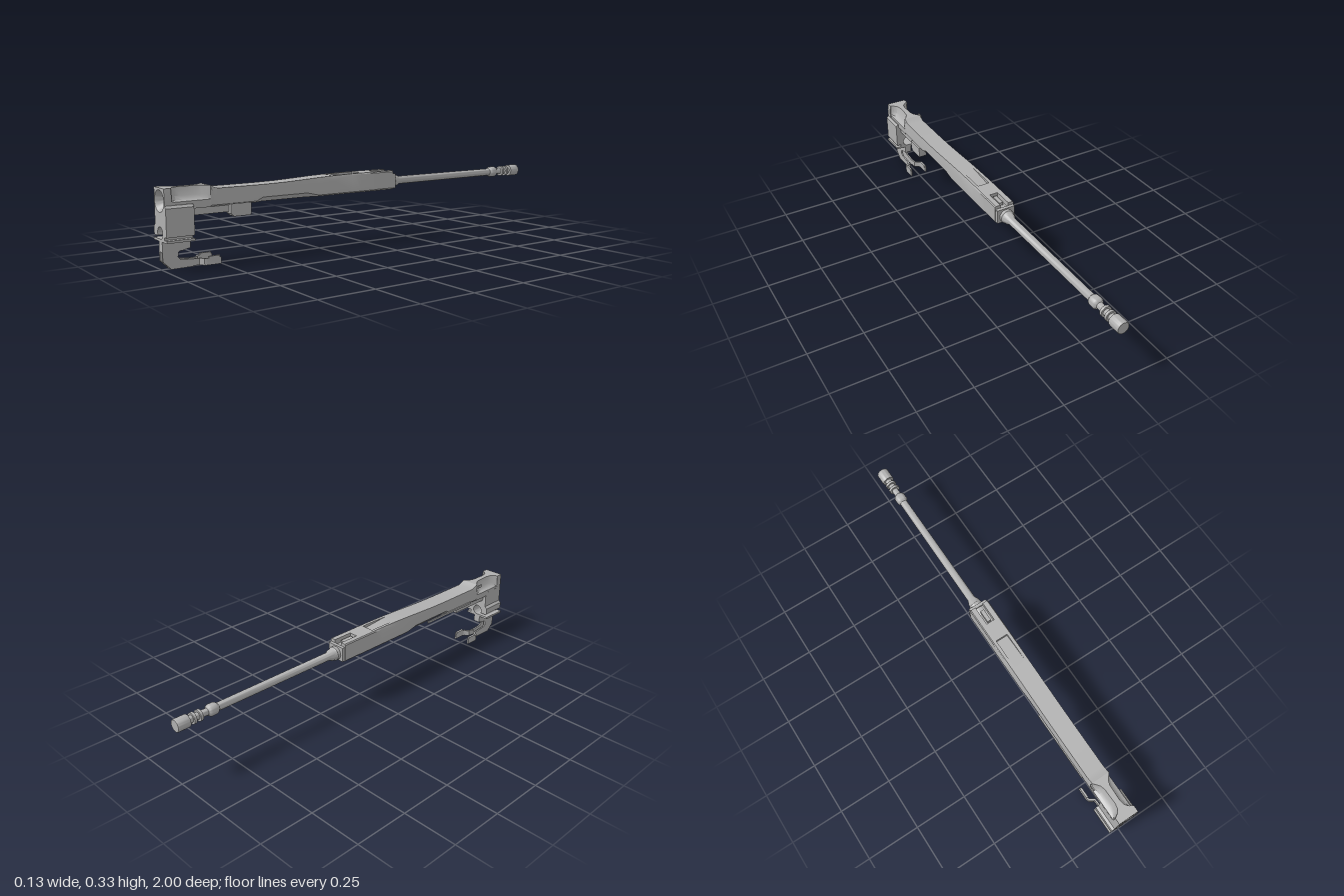
import * as THREE from 'three';
import { toCreasedNormals } from 'three/addons/utils/BufferGeometryUtils.js';

const steel = new THREE.MeshStandardMaterial({ color: 0xb0b0b0 });
steel.name = 'steel grey';

export function createModel() {
  const group = new THREE.Group();

  const add = (name, geo) => {
    const mesh = new THREE.Mesh(toCreasedNormals(geo, 0.6), steel);
    mesh.name = name;
    group.add(mesh);
    return mesh;
  };
  const toShape = (pts) => new THREE.Shape(pts.map(([a, b]) => new THREE.Vector2(a, b)));
  const box = (name, x0, x1, y0, y1, z0, z1) =>
    add(name, new THREE.BoxGeometry(x1 - x0, y1 - y0, z1 - z0)
      .translate((x0 + x1) / 2, (y0 + y1) / 2, (z0 + z1) / 2));
  const extrude = (shape, depth) =>
    new THREE.ExtrudeGeometry(shape, { depth, bevelEnabled: false, curveSegments: 24 });
  // (x, y) outline pushed along z
  const alongZ = (name, shape, z0, z1) => add(name, extrude(shape, z1 - z0).translate(0, 0, z0));
  // (z, y) outline pushed along x
  const alongX = (name, shape, x0, x1) =>
    add(name, extrude(shape, x1 - x0).rotateY(-Math.PI / 2).translate(x1, 0, 0));
  // [radius, z] profile turned about the bore axis
  const turned = (name, pts) =>
    add(name, new THREE.LatheGeometry(pts.map(([r, z]) => new THREE.Vector2(r, -z)), 32)
      .rotateX(-Math.PI / 2).translate(0, 0.28, 0));

  // Skin between counterclockwise cross-sections ordered by rising z
  const loft = (name, sections) => {
    const pos = [];
    const put = (s, i) => pos.push(s.pts[i][0], s.pts[i][1], s.z);
    const n = sections[0].pts.length;
    for (let k = 0; k + 1 < sections.length; k++) {
      const a = sections[k], b = sections[k + 1];
      for (let i = 0; i < n; i++) {
        const j = (i + 1) % n;
        put(a, i); put(a, j); put(b, j);
        put(a, i); put(b, j); put(b, i);
      }
    }
    const first = sections[0], last = sections[sections.length - 1];
    const cap = (s) => THREE.ShapeUtils.triangulateShape(
      s.pts.map(([x, y]) => new THREE.Vector2(x, y)), []);
    for (const [a, b, c] of cap(first)) { put(first, a); put(first, c); put(first, b); }
    for (const [a, b, c] of cap(last)) { put(last, a); put(last, b); put(last, c); }
    const geo = new THREE.BufferGeometry();
    geo.setAttribute('position', new THREE.Float32BufferAttribute(pos, 3));
    geo.computeVertexNormals();
    return add(name, geo);
  };
  const mirrored = (half) => [...half, ...half.slice().reverse().map(([x, y]) => [-x, y])];

  // Barrel with rear collar, tip collar and grooved tip
  turned('barrel', [
    [0, -0.1], [0.032, -0.1], [0.032, -0.165], [0.028, -0.17], [0.026, -0.185], [0.0185, -0.2],
    [0.0175, -0.8], [0.024, -0.807], [0.026, -0.812], [0.026, -0.838], [0.022, -0.845],
    [0.015, -0.85], [0.015, -0.882], [0.025, -0.882], [0.025, -0.894], [0.016, -0.894],
    [0.016, -0.912], [0.025, -0.912], [0.025, -0.924], [0.016, -0.924], [0.016, -0.942],
    [0.027, -0.942], [0.028, -0.947], [0.028, -0.997], [0.026, -1], [0, -1],
  ]);

  // Long housing: z, side edge height, top height, bottom corner inset, pocket depth
  const rows = [
    [-0.04, 0.328, 0.333, 0.006, 0], [0.05, 0.328, 0.333, 0.006, 0],
    [0.05, 0.328, 0.333, 0.006, 0.016], [0.1, 0.326, 0.333, 0.006, 0.011],
    [0.2, 0.312, 0.331, 0.006, 0], [0.28, 0.3, 0.328, 0.006, 0],
    [0.34, 0.291, 0.325, 0.02, 0], [0.45, 0.278, 0.32, 0.02, 0],
    [0.56, 0.274, 0.318, 0.02, 0], [0.59, 0.273, 0.318, 0.006, 0],
    [0.765, 0.262, 0.318, 0.006, 0], [0.785, 0.3, 0.325, 0.006, 0],
    [0.8, 0.325, 0.333, 0.006, 0],
  ];
  loft('housing', rows.map(([z, side, top, inset, pocket]) => ({
    z,
    pts: mirrored([
      [0.047 - inset, 0.245], [0.047, 0.245 + inset], [0.047, side],
      [0.043, top], [0.029, top], [0.029, top - pocket],
    ]),
  })));

  // Slotted rear end of the housing
  alongZ('housingRear', toShape([
    [-0.04, 0.245], [0.04, 0.245], [0.047, 0.252], [0.047, 0.328], [0.043, 0.333], [0.02, 0.333],
    [0.02, 0.308], [-0.02, 0.308], [-0.02, 0.333], [-0.043, 0.333], [-0.047, 0.328], [-0.047, 0.252],
  ]), -0.135, -0.04);
  box('rearLip', -0.044, 0.044, 0.25, 0.318, -0.15, -0.135);
  box('slotLug', -0.009, 0.009, 0.3, 0.325, -0.11, -0.05);

  // Scooped neck with a thin top rib
  const neck = [
    [0.8, 0.046], [0.812, 0.034], [0.83, 0.02], [0.85, 0.014], [0.92, 0.012],
    [0.945, 0.017], [0.96, 0.03], [0.97, 0.046],
  ];
  loft('scoopedNeck', neck.map(([z, w]) => ({
    z,
    pts: mirrored([
      [0.047, 0.245], [0.048, 0.277], [w + (0.048 - w) * 0.6, 0.282],
      [w + (0.048 - w) * 0.25, 0.298], [w, 0.333],
    ]),
  })));

  // Front block with open cradle at the bottom
  const blockOutline = (top) => {
    const s = new THREE.Shape();
    s.moveTo(-0.055, 0.14);
    s.lineTo(-0.022, 0.14);
    s.absarc(0, 0.152, 0.025, Math.PI * 1.16, -Math.PI * 0.41, true);
    for (const [x, y] of [[0.042, 0.127], [0.042, 0.14], [0.062, 0.14], [0.062, 0.255],
      [0.052, 0.265], ...top, [-0.048, 0.185], [-0.06, 0.175], [-0.06, 0.145]]) s.lineTo(x, y);
    s.closePath();
    return s;
  };
  alongZ('lowerBlock', blockOutline([[-0.048, 0.265]]), 0.88, 0.97);
  const face = blockOutline([[0.053, 0.3], [0.048, 0.333], [-0.048, 0.333]]);
  const bore = new THREE.Path();
  bore.absarc(0, 0.28, 0.045, 0, Math.PI * 2, true);
  face.holes.push(bore);
  alongZ('frontPlate', face, 0.97, 1);
  turned('boreFunnel', [[0, 0.971], [0.026, 0.971], [0.045, 1]]);
  box('sideStud', -0.053, -0.047, 0.315, 0.328, 0.8, 0.83);

  // Underside rail and lug
  box('underRail', -0.03, 0.036, 0.216, 0.25, 0.66, 0.885);
  alongX('underLug', toShape([
    [0.715, 0.21], [0.7, 0.197], [0.625, 0.197], [0.62, 0.205], [0.62, 0.25], [0.715, 0.25],
  ]), 0.015, 0.054);
  box('sideRail', -0.052, -0.045, 0.246, 0.256, 0.42, 0.75);

  // Mounting flange and forked bracket
  box('flange', -0.065, 0.065, 0.118, 0.128, 0.88, 1);
  alongX('bracketStem', toShape([
    [1, 0.075], [1, 0.119], [0.88, 0.119], [0.88, 0.083], [0.915, 0.075],
  ]), -0.017, 0.017);
  for (const s of [1, -1]) {
    const x0 = s > 0 ? 0.009 : -0.017;
    alongX('bracketLeg', toShape([
      [1, 0.1], [0.88, 0.1], [0.88, 0.083], [0.918, 0.079], [0.933, 0.07], [0.935, 0.05],
      [0.925, 0.04], [0.87, 0.035], [0.87, 0.004], [0.965, 0.003], [1, 0.038],
    ]), x0, x0 + 0.008);
    // Clip arm bent outwards, drawn in plan as (x, -z)
    const plan = [
      [0.009, -0.88], [0.017, -0.88], [0.02, -0.845], [0.041, -0.832], [0.046, -0.82],
      [0.046, -0.76], [0.038, -0.76], [0.038, -0.816], [0.034, -0.824], [0.013, -0.838],
    ].map(([x, y]) => [x * s, y]);
    add('clipArm', extrude(toShape(plan), 0.028).rotateX(-Math.PI / 2).translate(0, 0.007, 0));
    const a = s > 0 ? 0.036 : -0.046;
    box('clipTab', a, a + 0.01, 0.033, 0.043, 0.765, 0.815);
  }
  return group;
}
